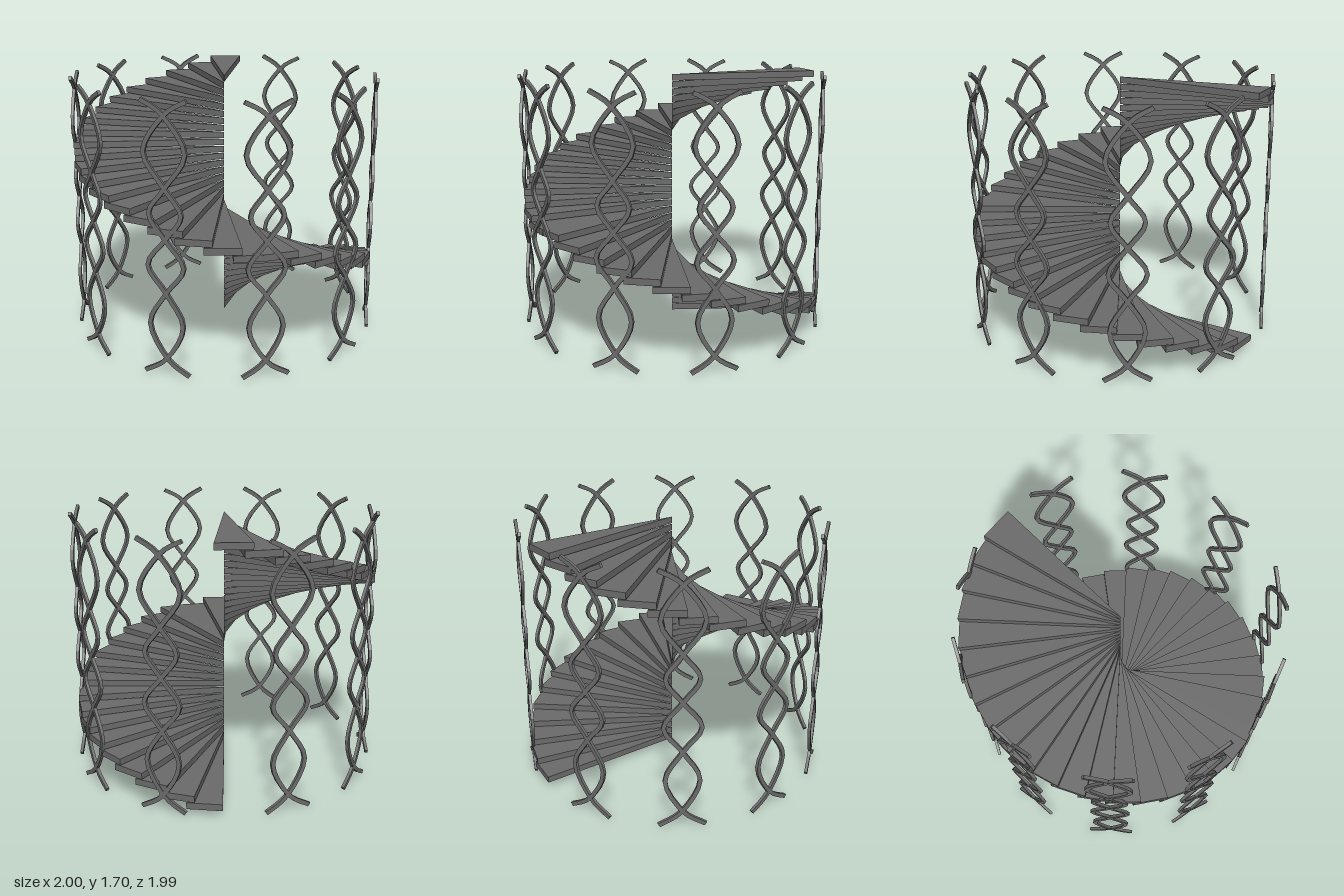
import * as THREE from 'three';

const material = new THREE.MeshStandardMaterial({ color: 0x6b6b6b, flatShading: true });
const rad = THREE.MathUtils.degToRad;

// Thin wedge with its tip on the axis, starting at the back (-z) and sweeping towards +x
function wedgeGeometry(radius, sweep, thickness) {
  const shape = new THREE.Shape([
    new THREE.Vector2(0, 0),
    new THREE.Vector2(radius * Math.sin(sweep), radius * Math.cos(sweep)),
    new THREE.Vector2(0, radius),
  ]);
  const geometry = new THREE.ExtrudeGeometry(shape, { depth: thickness, bevelEnabled: false });
  return geometry.rotateX(-Math.PI / 2);
}

// Flat wavy bar that swings from side to side; side = 1 or -1 mirrors it
function strandGeometry(side, width, depth) {
  const profile = [
    [0.145, 0.012], [0, 0.11], [-0.107, 0.33], [0, 0.53], [0.115, 0.7], [0, 0.865],
    [-0.102, 1.02], [0, 1.175], [0.13, 1.385], [0, 1.6], [-0.142, 1.688],
  ];
  const curve = new THREE.SplineCurve(profile.map(([x, y]) => new THREE.Vector2(x * side, y)));
  const left = [], right = [];
  const segments = 40;
  for (let i = 0; i <= segments; i++) {
    const p = curve.getPoint(i / segments);
    const t = curve.getTangent(i / segments);
    const offset = new THREE.Vector2(-t.y, t.x).multiplyScalar(width / 2);
    left.push(p.clone().add(offset));
    right.unshift(p.clone().sub(offset));
  }
  const geometry = new THREE.ExtrudeGeometry(new THREE.Shape([...left, ...right]), {
    depth, bevelEnabled: false,
  });
  return geometry.translate(0, 0, -depth / 2);
}

export function createModel() {
  const model = new THREE.Group();
  model.name = 'spiralStaircase';

  // Treads: one full turn, with two at the same height forming a landing halfway
  const treads = new THREE.Group();
  treads.name = 'treads';
  const treadGeometry = wedgeGeometry(0.995, rad(12.9), 0.042);
  for (let i = 0; i < 36; i++) {
    const level = i > 15 ? i - 1 : i;
    const tread = new THREE.Mesh(treadGeometry, material);
    tread.name = i === 15 || i === 16 ? 'landingTread' : 'tread';
    tread.position.y = 0.041 + level * 0.0471;
    tread.rotation.y = -rad(i * 10);
    treads.add(tread);
  }
  model.add(treads);

  // Balusters: pairs of crossing strands around the rim
  const strands = [1, -1].map((side) => strandGeometry(side, 0.027, 0.02));
  for (let i = 0; i < 10; i++) {
    const baluster = new THREE.Group();
    baluster.name = 'twistedBaluster';
    baluster.rotation.y = -rad(21.4 + i * 35);
    strands.forEach((geometry, k) => {
      const strand = new THREE.Mesh(geometry, material);
      strand.name = k ? 'rightStrand' : 'leftStrand';
      strand.position.z = -0.985;
      baluster.add(strand);
    });
    model.add(baluster);
  }
  return model;
}
